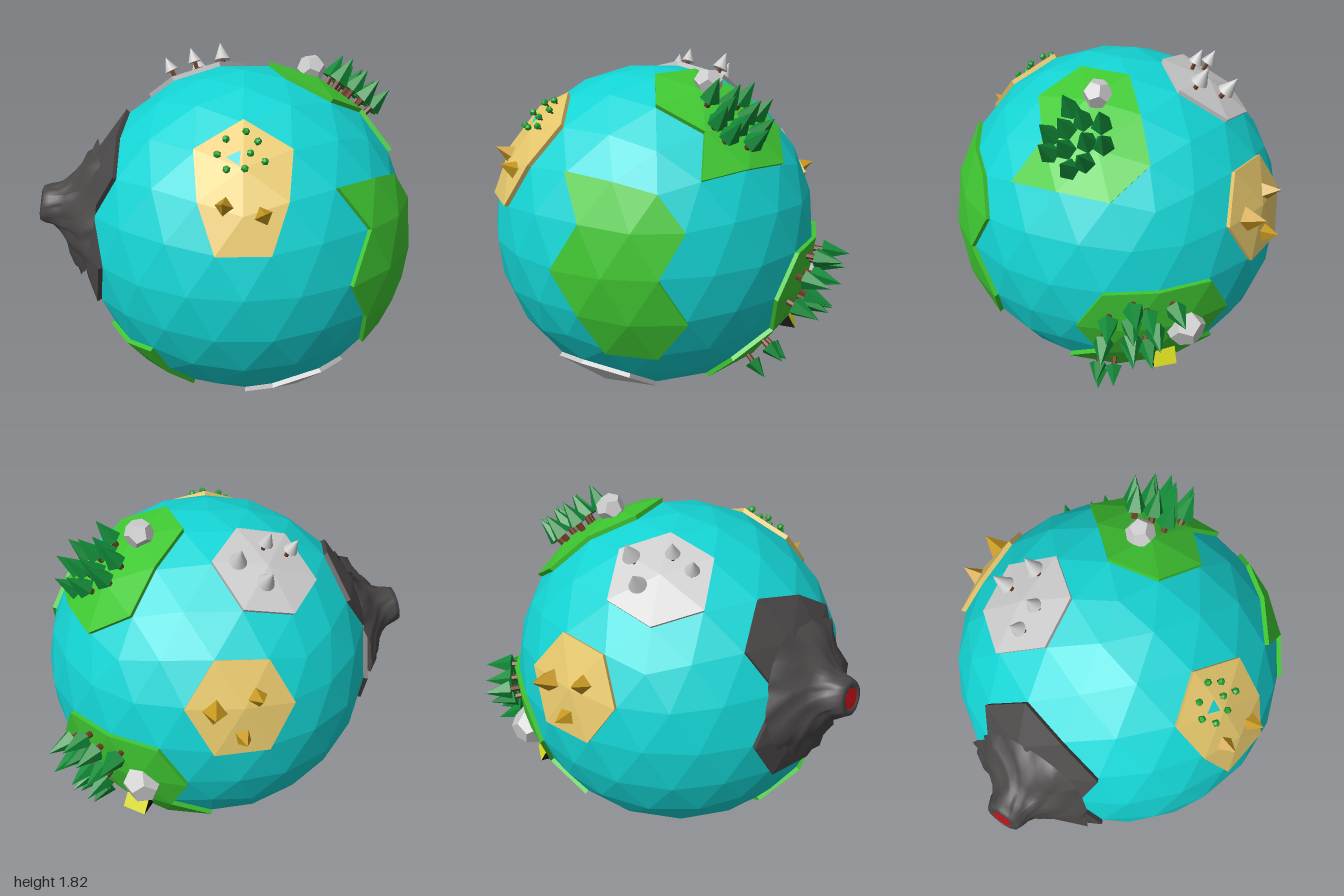
import * as THREE from 'three';

const R = 0.89, LIFT = 1.028, GROUND = 0.9;
const V = (x, y, z) => new THREE.Vector3(x, y, z);
const mat = (color, extra = {}) => new THREE.MeshStandardMaterial({ color, flatShading: true, ...extra });

const M = {
  ocean: mat(0x14d4d4), grass: mat(0x40c832), sand: mat(0xe6c76c), snow: mat(0xcccccc), rock: mat(0xcccccc),
  lavaRock: mat(0x4a4747), volcano: mat(0x4a4747, { flatShading: false, side: THREE.DoubleSide }),
  lava: mat(0xc01018), trunk: mat(0x6b3a20), leaf: mat(0x128a38), palm: mat(0x22a030),
  snowCrown: mat(0xf2f2f2, { flatShading: false }), pyramid: mat(0xc89a20),
  tent: mat(0xd8d820), tentEnd: mat(0x111111), pond: mat(0x14d4d4, { side: THREE.DoubleSide })
};

// Icosahedron with a vertex at each pole, subdivided into the globe
function globeGeometry() {
  const v = [0, 1, 0, 0, -1, 0], f = [], s = Math.sqrt(0.8), h = Math.sqrt(0.2);
  for (let i = 0; i < 5; i++) {
    const a = i * Math.PI * 0.4, b = a + Math.PI / 5, j = (i + 1) % 5;
    v.push(s * Math.cos(a), h, -s * Math.sin(a), s * Math.cos(b), -h, -s * Math.sin(b));
    const u = 2 + 2 * i, l = u + 1, u2 = 2 + 2 * j, l2 = u2 + 1;
    f.push(0, u, u2, u, l, u2, l, l2, u2, 1, l2, l);
  }
  return new THREE.PolyhedronGeometry(v, f, R, 3);
}

function facesOf(geo) {
  const p = geo.attributes.position, out = [];
  for (let i = 0; i < p.count; i += 3)
    out.push([0, 1, 2].map(k => new THREE.Vector3().fromBufferAttribute(p, i + k)));
  return out;
}

const key = p => [p.x, p.y, p.z].map(n => Math.round(n * 1000)).join();

// Raised land: all globe faces around each hub vertex, plus single extra faces
function landGeometry(faces, hubs, extras = []) {
  const picked = new Set();
  const best = (list, score) => list.reduce((a, b) => (score(b) > score(a) ? b : a));
  for (const h of hubs) {
    const d = V(...h), hub = key(best(faces.flat(), p => p.dot(d)));
    faces.forEach(f => { if (f.some(p => key(p) === hub)) picked.add(f); });
  }
  for (const e of extras) {
    const d = V(...e);
    picked.add(best(faces, f => V(0, 0, 0).add(f[0]).add(f[1]).add(f[2]).normalize().dot(d)));
  }
  const edges = new Set(), pos = [];
  const tri = (...ps) => ps.forEach(p => pos.push(p.x, p.y, p.z));
  const up = p => p.clone().multiplyScalar(LIFT);
  for (const f of picked) {
    tri(...f.map(up));
    f.forEach((p, i) => edges.add(key(p) + '|' + key(f[(i + 1) % 3])));
  }
  // walls along the outline
  for (const f of picked) f.forEach((a, i) => {
    const b = f[(i + 1) % 3];
    if (edges.has(key(b) + '|' + key(a))) return;
    tri(a, b, up(b));
    tri(a, up(b), up(a));
  });
  const g = new THREE.BufferGeometry();
  g.setAttribute('position', new THREE.Float32BufferAttribute(pos, 3));
  g.computeVertexNormals();
  return g;
}

function mesh(name, geo, material, y = 0) {
  const m = new THREE.Mesh(geo, material);
  m.name = name;
  m.position.y = y;
  return m;
}

function tree(name, crownMat, sides, r, h, trunkH) {
  const g = new THREE.Group();
  g.name = name;
  g.add(mesh('trunk', new THREE.CylinderGeometry(r * 0.3, r * 0.3, trunkH + 0.02, 6), M.trunk, trunkH / 2));
  g.add(mesh('crown', new THREE.ConeGeometry(r, h, sides), crownMat, trunkH + h / 2));
  return g;
}

// Lathe cone with a crater, roughened by a periodic rule
function volcano() {
  const g = new THREE.Group();
  g.name = 'volcano';
  const profile = [[0.35, 0.85], [0.29, 0.895], [0.23, 0.93], [0.175, 0.965], [0.135, 1.0], [0.112, 1.04],
    [0.104, 1.08], [0.092, 1.11], [0.06, 1.118], [0.048, 1.085]].map(p => new THREE.Vector2(...p));
  const geo = new THREE.LatheGeometry(profile, 40), p = geo.attributes.position;
  for (let i = 0; i < p.count; i++) {
    const x = p.getX(i), y = p.getY(i), z = p.getZ(i), a = Math.atan2(z, x), r = Math.hypot(x, z);
    const n = Math.sin(5 * a + 30 * y) * 0.5 + Math.sin(11 * a - 55 * y) * 0.35 + Math.sin(17 * a + 90 * y) * 0.3;
    const k = 1 + n * (r > 0.11 ? 0.11 : 0.03);
    p.setXYZ(i, x * k, y + n * 0.05 * Math.max(0, r - 0.1), z * k);
  }
  geo.computeVertexNormals();
  g.add(mesh('cone', geo, M.volcano));
  g.add(mesh('lava', new THREE.CylinderGeometry(0.055, 0.05, 0.03, 10), M.lava, 1.1));
  return g;
}

function tent() {
  const s = new THREE.Shape([[-0.055, -0.02], [0.055, -0.02], [0, 0.085]].map(p => new THREE.Vector2(...p)));
  const geo = new THREE.ExtrudeGeometry(s, { depth: 0.13, bevelEnabled: false }).translate(0, 0, -0.065);
  const m = new THREE.Mesh(geo, [M.tentEnd, M.tent]);
  m.name = 'tent';
  return m;
}

export function createModel() {
  const root = new THREE.Group(), globe = new THREE.Group();
  root.name = 'planet';
  globe.name = 'globe';
  globe.position.set(-0.115, 0.89, 0);
  root.add(globe);

  const oceanGeo = globeGeometry(), faces = facesOf(oceanGeo);
  globe.add(mesh('ocean', oceanGeo, M.ocean));

  const land = (name, material, hubs, extras) => globe.add(mesh(name, landGeometry(faces, hubs, extras), material));
  land('frontMeadow', M.grass, [[0.155, 0.25, 0.955], [0.15, -0.29, 0.945]],
    [[-0.11, 0.39, 0.79], [-0.13, 0.08, 0.87], [-0.13, -0.08, 0.87]]);
  land('topForestLand', M.grass, [[0.36, 0.89, 0.26], [0.64, 0.72, 0.26]], [[0.54, 0.585, 0.58]]);
  land('sideForestLand', M.grass, [[0.947, -0.276, -0.162], [0.947, -0.276, 0.162]],
    [[0.63, -0.57, -0.26], [0.7, -0.52, -0.13], [0.67, -0.58, 0], [0.7, -0.52, 0.13], [0.63, -0.57, 0.26], [0.52, -0.67, 0.26]]);
  land('lowerMeadow', M.grass, [[-0.638, -0.724, -0.263]], [[-0.84, -0.51, -0.09]]);
  land('backDesert', M.sand, [[0.67, 0.276, -0.687]]);
  land('oasisDesert', M.sand, [[-0.609, 0.657, 0.443], [-0.7236, 0.447, 0.5257]]);
  land('snowField', M.snow, [[0.1625, 0.85, -0.5]]);
  land('lowerIce', M.snow, [[-0.1625, -0.85, 0.5]]);
  land('volcanoLand', M.lavaRock,
    [[-0.7236, 0.447, -0.5257], [-0.533, 0.503, -0.683], [-0.809, 0, -0.588], [-0.588, 0, -0.809]]);

  // Stand an object on the globe, pointing outward
  const place = (obj, dir, radius = GROUND, spin = 0) => {
    const d = dir.clone().normalize();
    obj.position.copy(d).multiplyScalar(radius);
    obj.quaternion.setFromUnitVectors(V(0, 1, 0), d).multiply(
      new THREE.Quaternion().setFromAxisAngle(V(0, 1, 0), spin));
    globe.add(obj);
  };
  // Directions from a plan (x, z) or side (z, y) position at a given distance
  const fromTop = (x, z, r) => V(x + 0.115, Math.sqrt(r * r - (x + 0.115) ** 2 - z * z), z);
  const fromSide = (z, y, r) => V(Math.sqrt(r * r - (y - 0.89) ** 2 - z * z), y - 0.89, z);

  // Forests
  [[0.45, 0.22], [0.54, 0.23], [0.4, 0.31], [0.5, 0.31], [0.57, 0.34], [0.31, 0.36], [0.4, 0.4], [0.48, 0.42],
    [0.56, 0.42], [0.45, 0.5], [0.38, 0.48]].forEach(([x, z], i) =>
    place(tree('pine', M.leaf, 5, 0.056, 0.14, 0.05), fromTop(x, z, 1.02), GROUND, i * 1.3));
  [[0.15, 0.82], [0.07, 0.77], [-0.08, 0.79], [0.28, 0.73], [0.16, 0.72], [0.03, 0.66], [0.15, 0.59], [0.06, 0.54],
    [0.3, 0.57], [0.15, 0.55], [0.3, 0.3], [0.21, 0.27], [0.27, 0.18]].forEach(([z, y], i) =>
    place(tree('pine', M.leaf, 5, i < 10 ? 0.056 : 0.048, i < 10 ? 0.15 : 0.11, 0.05), fromSide(z, y, 1.02), GROUND, i * 1.1));

  // Snowy trees
  [[-0.12, -0.52], [-0.03, -0.42], [0.16, -0.54], [0.18, -0.38]].forEach(([x, z], i) =>
    place(tree('snowyTree', M.snowCrown, 16, i < 2 ? 0.038 : 0.046, i < 2 ? 0.08 : 0.1, 0.045), fromTop(x, z, 1.0)));

  // Boulders
  place(mesh('boulder', new THREE.DodecahedronGeometry(0.108), M.rock), fromSide(-0.16, 0.61, 0.9), 0.9, 0.4);
  place(mesh('boulder', new THREE.DodecahedronGeometry(0.078), M.rock), fromTop(0.235, 0.19, 0.94), 0.94, 0.8);

  // Pyramids
  const pyramid = (dir, r, spin) => {
    const geo = new THREE.ConeGeometry(r, r * 1.9, 4).translate(0, r * 0.85, 0);
    place(mesh('pyramid', geo, M.pyramid), dir, GROUND, spin);
  };
  pyramid(fromSide(-0.54, 1.14, 0.95), 0.068, 0.5);
  pyramid(fromSide(-0.69, 1.2, 0.95), 0.056, 1.0);
  pyramid(fromSide(-0.67, 0.99, 0.95), 0.05, 0.2);
  pyramid(V(-0.69, 0.45, 0.39), 0.052, 0.4);
  pyramid(V(-0.595, 0.41, 0.55), 0.052, 1.1);

  // Oasis
  place(mesh('pond', new THREE.CircleGeometry(0.045, 3).rotateX(-Math.PI / 2), M.pond), fromTop(-0.66, 0.35, 0.91), 0.915);
  [[-0.71, 0.28], [-0.64, 0.28], [-0.73, 0.35], [-0.68, 0.42], [-0.62, 0.41], [-0.56, 0.41], [-0.56, 0.34], [-0.6, 0.48]]
    .forEach(([x, z], i) => {
      const palm = new THREE.Group();
      palm.name = 'palm';
      palm.add(mesh('trunk', new THREE.CylinderGeometry(0.006, 0.006, 0.03, 5), M.trunk, 0.008));
      palm.add(mesh('crown', new THREE.IcosahedronGeometry(0.02, 0), M.palm, 0.03));
      place(palm, fromTop(x, z, 0.93), GROUND, i);
    });

  place(tent(), fromSide(-0.065, 0.36, 0.94), GROUND);

  place(volcano(), V(-0.69, 0.19, -0.7), 0);
  return root;
}
